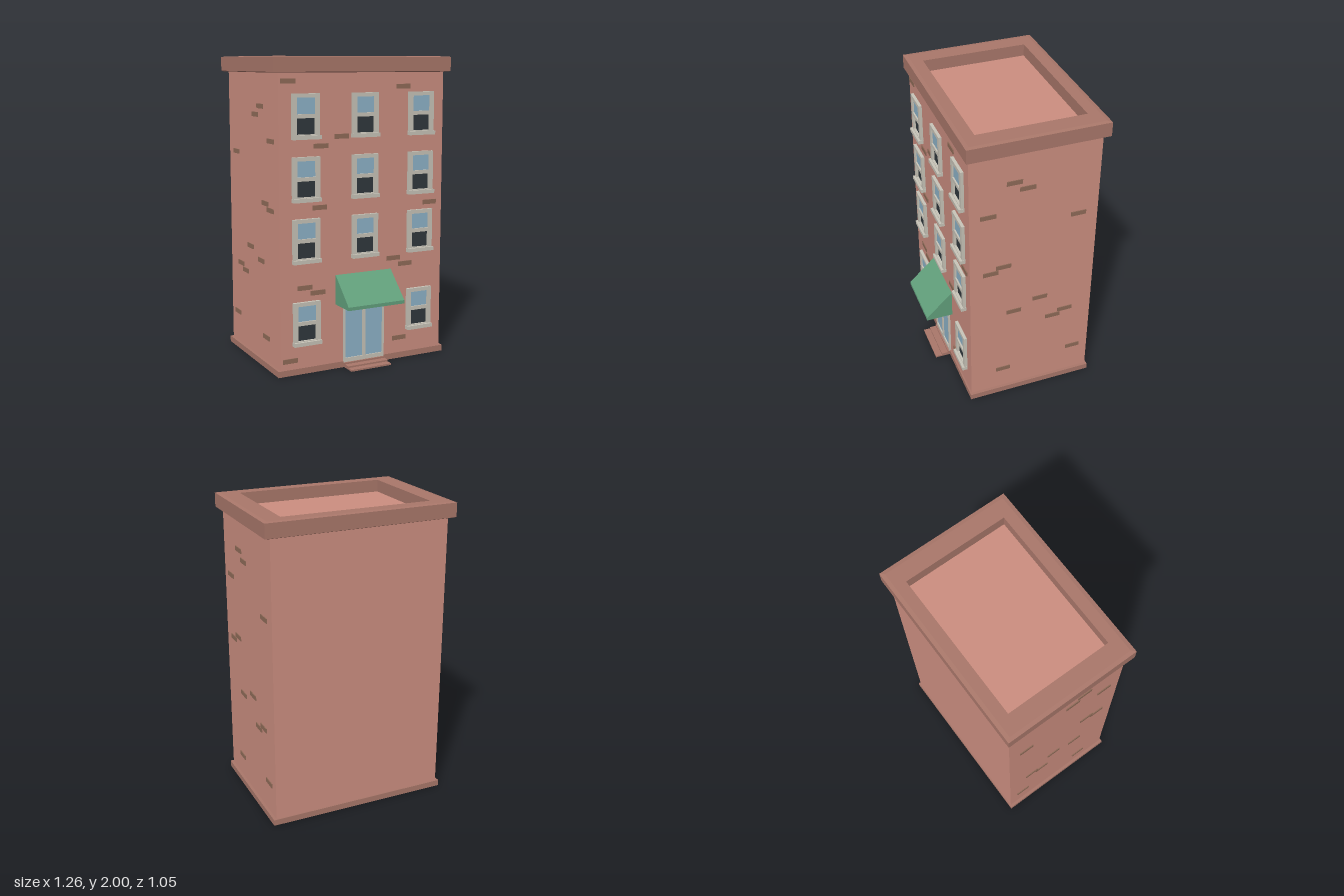
import * as THREE from 'three';

const mat = (color, extra = {}) => new THREE.MeshStandardMaterial({ color, ...extra });
const M = {
  wall: mat(0xcc8e80),
  trim: mat(0xa9776a, { flatShading: true }),
  brick: mat(0x8f6b58),
  frame: mat(0xc8c4b8),
  glass: mat(0x8db2c8),
  dark: mat(0x30383d),
  awning: mat(0x62a07c),
};
const FRONT = 0.345, BACK = -0.495, HALF_W = 0.59;

// Box given by its min and max on each axis
function box(name, material, [x0, x1], [y0, y1], [z0, z1]) {
  const mesh = new THREE.Mesh(new THREE.BoxGeometry(x1 - x0, y1 - y0, z1 - z0), material);
  mesh.position.set((x0 + x1) / 2, (y0 + y1) / 2, (z0 + z1) / 2);
  mesh.name = name;
  return mesh;
}

// Rectangle outline for shapes and holes
function rect(Type, x0, x1, y0, y1) {
  return new Type([[x0, y0], [x1, y0], [x1, y1], [x0, y1]].map(p => new THREE.Vector2(...p)));
}

// Flat frame with rectangular openings, extruded towards +z
function frameMesh(name, outer, holes, depth) {
  const shape = rect(THREE.Shape, ...outer);
  holes.forEach(h => shape.holes.push(rect(THREE.Path, ...h)));
  const geo = new THREE.ExtrudeGeometry(shape, { depth, bevelEnabled: false });
  const mesh = new THREE.Mesh(geo, M.frame);
  mesh.name = name;
  return mesh;
}

// Joins a stack of rectangles [halfX, halfZ, y] into a moulding
function moulding(rings) {
  const pos = [];
  const corners = [[-1, 1], [1, 1], [1, -1], [-1, -1]];
  const at = ([hx, hz, y], k) => [corners[k % 4][0] * hx, y, corners[k % 4][1] * hz];
  for (let i = 0; i < rings.length - 1; i++) {
    for (let k = 0; k < 4; k++) {
      const a = at(rings[i], k), b = at(rings[i], k + 1);
      const c = at(rings[i + 1], k + 1), d = at(rings[i + 1], k);
      pos.push(...a, ...b, ...c, ...a, ...c, ...d);
    }
  }
  const geo = new THREE.BufferGeometry();
  geo.setAttribute('position', new THREE.Float32BufferAttribute(pos, 3));
  geo.computeVertexNormals();
  return geo;
}

// Sash window, origin at the bottom centre of its sill on the wall
function makeWindow() {
  const g = new THREE.Group();
  g.name = 'window';
  g.add(frameMesh('windowFrame', [-0.093, 0.093, 0.01, 0.28],
    [[-0.063, 0.063, 0.03, 0.13], [-0.063, 0.063, 0.155, 0.255]], 0.02));
  g.add(box('windowSill', M.frame, [-0.096, 0.096], [0, 0.025], [-0.005, 0.036]));
  g.add(box('upperPane', M.glass, [-0.065, 0.065], [0.153, 0.257], [-0.005, 0.01]));
  g.add(box('lowerPane', M.dark, [-0.065, 0.065], [0.028, 0.132], [-0.005, 0.004]));
  return g;
}

function makeDoor() {
  const g = new THREE.Group();
  g.name = 'door';
  const frame = frameMesh('doorFrame', [-0.15, 0.148, 0.03, 0.425],
    [[-0.138, -0.012, 0.06, 0.405], [0.01, 0.136, 0.06, 0.405]], 0.014);
  frame.position.z = FRONT;
  g.add(frame);
  g.add(box('doorGlass', M.glass, [-0.14, 0.138], [0.055, 0.41], [FRONT - 0.005, FRONT + 0.006]));
  return g;
}

export function createModel() {
  const model = new THREE.Group();
  model.name = 'building';

  // Main block and plinth
  model.add(box('walls', M.wall, [-HALF_W, HALF_W], [0.005, 1.903], [BACK, FRONT]));
  model.add(box('plinth', M.trim, [-0.61, 0.61], [0, 0.04], [-0.505, 0.356]));

  // Cornice with a sunken roof
  const cornice = new THREE.Mesh(moulding([
    [0.58, 0.41, 1.9], [0.62, 0.435, 1.9], [0.632, 0.447, 1.905], [0.632, 0.447, 1.996],
    [0.607, 0.422, 2], [0.496, 0.35, 2], [0.496, 0.35, 1.915],
  ]), M.trim);
  cornice.name = 'cornice';
  cornice.position.z = -0.078;
  model.add(cornice);
  model.add(box('roof', M.wall, [-0.5, 0.5], [1.9, 1.92], [-0.432, 0.276]));

  // Windows: three per floor, the door replaces the lowest middle one
  [0.19, 0.72, 1.107, 1.495].forEach((y, row) => {
    for (const x of [-0.412, 0.003, 0.416]) {
      if (row === 0 && Math.abs(x) < 0.1) continue;
      const w = makeWindow();
      w.position.set(x, y, FRONT);
      model.add(w);
    }
  });

  // Entrance: door, awning and thin steps
  model.add(makeDoor());
  const profile = new THREE.Shape([[FRONT - 0.005, 0.425], [0.525, 0.425], [0.525, 0.447], [FRONT - 0.005, 0.623]]
    .map(([z, y]) => new THREE.Vector2(-z, y)));
  const awning = new THREE.Mesh(
    new THREE.ExtrudeGeometry(profile, { depth: 0.406, bevelEnabled: false }), M.awning);
  awning.rotation.y = Math.PI / 2;
  awning.position.x = -0.203;
  awning.name = 'awning';
  model.add(awning);
  [0.46, 0.415, 0.37].forEach((z, i) => {
    model.add(box('step', M.trim, [-0.147, 0.147], [i * 0.011, (i + 1) * 0.011], [FRONT, z]));
  });

  // Raised bricks on the front [x, y]
  const frontBricks = [[-0.525, 1.85], [0.285, 1.81], [-0.16, 1.505], [-0.305, 1.45],
    [-0.315, 1.065], [0.495, 1.045], [0.22, 0.69], [0.31, 0.645],
    [-0.42, 0.56], [-0.33, 0.52], [0.27, 0.14], [-0.525, 0.095]];
  for (const [x, y] of frontBricks) {
    model.add(box('frontBrick', M.brick, [x - 0.05, x + 0.05], [y - 0.015, y + 0.015],
      [FRONT - 0.01, FRONT + 0.006]));
  }

  // Raised bricks mirrored on both sides [z, y]
  const sideBricks = [[0.06, 1.69], [-0.025, 1.635], [0.225, 1.48], [-0.365, 1.37],
    [0.125, 1.08], [0.21, 1.045], [-0.13, 0.76], [0.05, 0.695],
    [-0.31, 0.61], [-0.225, 0.575], [-0.385, 0.25], [0.12, 0.2]];
  for (const side of [-1, 1]) {
    for (const [z, y] of sideBricks) {
      const brick = box('sideBrick', M.brick, [-0.008, 0.008], [y - 0.015, y + 0.015], [z - 0.05, z + 0.05]);
      brick.position.x = side * (HALF_W - 0.002);
      model.add(brick);
    }
  }
  return model;
}
